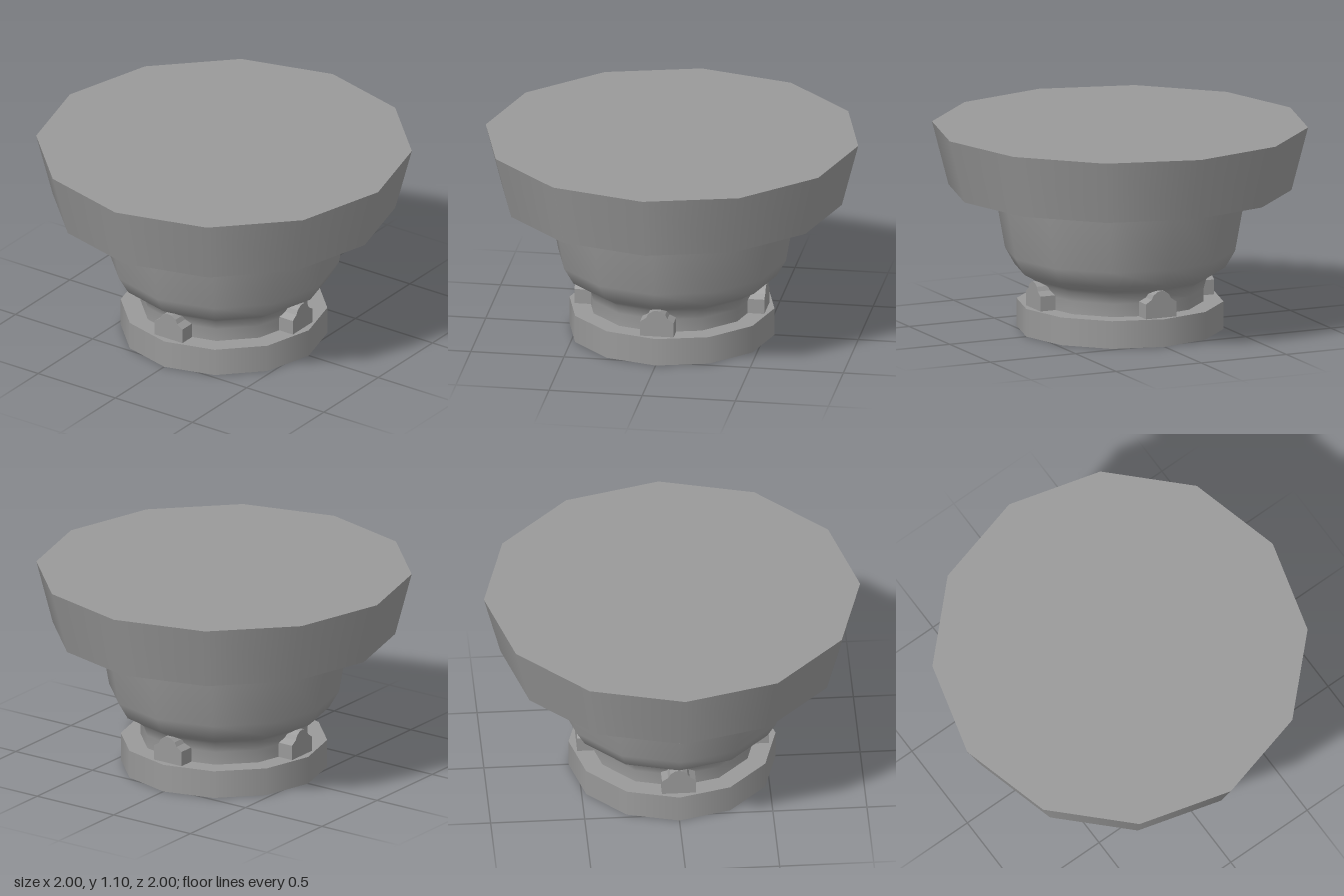
import * as THREE from 'three';

const SIDES = 12;

export function createModel() {
  const group = new THREE.Group();
  group.name = 'pedestalBowl';

  const grey = new THREE.MeshStandardMaterial({ color: 0x999999, side: THREE.DoubleSide });
  grey.name = 'grey';

  // Twelve-sided band turned from [radius, height] points; creases fall between bands
  const band = (name, profile) => {
    const points = profile.map(([r, y]) => new THREE.Vector2(r, y));
    const mesh = new THREE.Mesh(new THREE.LatheGeometry(points, SIDES), grey);
    mesh.name = name;
    group.add(mesh);
  };

  // Hollow base ring and its ledge
  band('baseRing', [[0.55, 0], [0.55, 0.15]]);
  band('baseLedge', [[0.55, 0.15], [0.44, 0.15]]);

  // Waist flaring into the bowl
  band('bowl', [
    [0.445, 0.15], [0.445, 0.22], [0.458, 0.27], [0.49, 0.295],
    [0.56, 0.335], [0.612, 0.425], [0.672, 0.76],
  ]);

  // Wide flared cap
  band('capUnderside', [[0.672, 0.76], [0.912, 0.76]]);
  band('capWall', [[0.912, 0.76], [1, 1.1]]);
  band('capTop', [[1, 1.1], [0, 1.1]]);

  // Four lugs with shouldered, rounded tops, passing through the waist
  const right = [[0.09, 0.15], [0.09, 0.23], [0.057, 0.252], [0.045, 0.275], [0.02, 0.292]];
  const left = right.map(([x, y]) => [-x, y]).reverse();
  const outline = [...right, [0, 0.295], ...left].map(([x, y]) => new THREE.Vector2(x, y));
  const lugGeometry = new THREE.ExtrudeGeometry(new THREE.Shape(outline), {
    depth: 0.09, bevelEnabled: false,
  });
  lugGeometry.translate(0, 0, 0.42);
  for (let i = 0; i < 4; i++) {
    const lug = new THREE.Mesh(lugGeometry, grey);
    lug.name = `lug${i + 1}`;
    lug.rotation.y = (i * Math.PI) / 2;
    group.add(lug);
  }

  return group;
}
